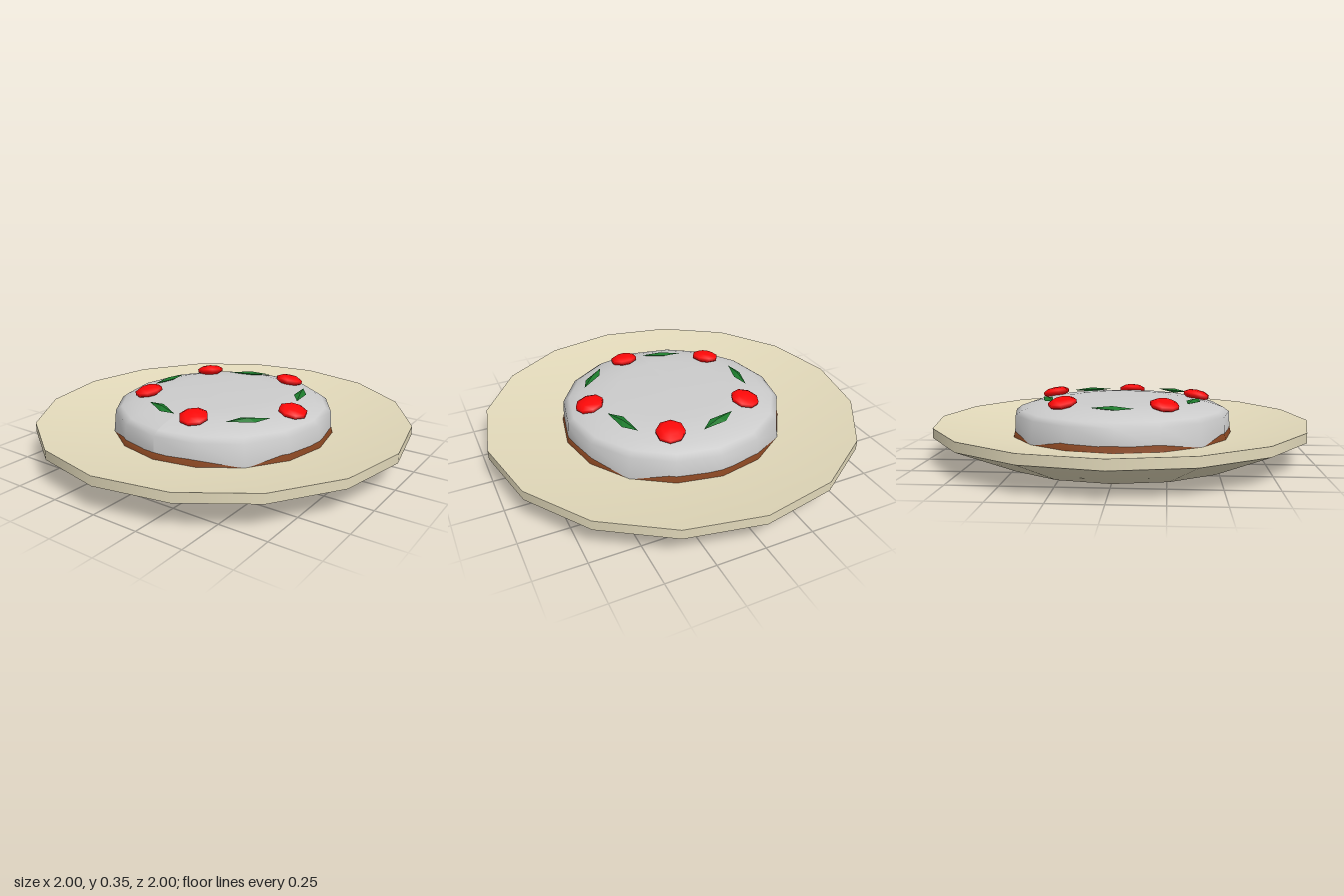
import * as THREE from 'three';

const SIDES = 16;
const mat = (color, flat = false) =>
  new THREE.MeshStandardMaterial({ color, flatShading: flat, side: THREE.DoubleSide });

function addMesh(parent, name, geometry, material) {
  const mesh = new THREE.Mesh(geometry, material);
  mesh.name = name;
  parent.add(mesh);
  return mesh;
}

// Surface of revolution from [radius, height] pairs
const lathe = (pts) =>
  new THREE.LatheGeometry(pts.map(([r, y]) => new THREE.Vector2(r, y)), SIDES);

export function createModel() {
  const model = new THREE.Group();
  model.name = 'cakeOnPlate';

  // Plate: underside, upright rim and shallow dished top keep hard edges between them
  const plate = new THREE.Group();
  plate.name = 'plate';
  model.add(plate);
  const plateMat = mat(0xe2d9ba);
  addMesh(plate, 'plateUnderside', lathe([[0, 0], [0.68, 0], [1, 0.14]]), plateMat);
  addMesh(plate, 'plateRim', lathe([[1, 0.14], [1, 0.19]]), plateMat);
  addMesh(plate, 'plateTop', lathe([[1, 0.19], [0.59, 0.12], [0, 0.1]]), plateMat);

  // Sponge showing below the icing
  addMesh(model, 'sponge', lathe([[0.597, 0.11], [0.583, 0.17], [0, 0.17]]), mat(0x854420));

  // Icing: domed coat whose lower edge dips at the diagonals
  const icing = lathe([[0.588, 0.14], [0.582, 0.235], [0.55, 0.258], [0.5, 0.276],
    [0.42, 0.295], [0.3, 0.305], [0, 0.306]]);
  const pos = icing.attributes.position;
  for (let i = 0; i < pos.count; i++) {
    if (pos.getY(i) > 0.15) continue;
    const x = pos.getX(i), z = pos.getZ(i);
    const dip = -Math.cos(4 * Math.atan2(x, z));
    pos.setXYZ(i, x * (1 + 0.012 * Math.max(0, dip)), 0.137 - 0.017 * dip, z * (1 + 0.012 * Math.max(0, dip)));
  }
  icing.computeVertexNormals();
  addMesh(model, 'icing', icing, mat(0xcccccc));

  // Flattened cherries tilted with the dome: x, y, z
  const cherryGeo = new THREE.SphereGeometry(0.077, 8, 5).scale(1, 0.38, 1);
  const cherryMat = mat(0xff0808);
  [[-0.33, 0.312, 0.235], [0.11, 0.308, 0.41], [0.45, 0.298, 0.035],
    [0.185, 0.308, -0.39], [-0.295, 0.313, -0.28]].forEach(([x, y, z]) => {
    const cherry = addMesh(model, 'cherry', cherryGeo, cherryMat);
    cherry.position.set(x, y, z);
    cherry.rotation.set(0.2, Math.atan2(x, z), 0, 'YXZ');
  });

  // Skewed diamond leaves, each given by its two tips: x1, z1, x2, z2
  const leafGeo = new THREE.OctahedronGeometry(1).scale(0.113, 0.012, 0.03)
    .applyMatrix4(new THREE.Matrix4().set(1, 0, 0.9, 0, 0, 1, 0, 0, 0, 0, 1, 0, 0, 0, 0, 1));
  const leafMat = mat(0x1c7a2c, true);
  [[-0.18, -0.345, 0.025, -0.435], [0.32, -0.31, 0.4, -0.095], [0.42, 0.2, 0.27, 0.37],
    [0, 0.42, -0.225, 0.35], [-0.405, 0.08, -0.39, -0.12]].forEach(([x1, z1, x2, z2]) => {
    const leaf = addMesh(model, 'leaf', leafGeo, leafMat);
    leaf.position.set((x1 + x2) / 2, 0.303, (z1 + z2) / 2);
    leaf.rotation.set(-0.17, -Math.atan2(z2 - z1, x2 - x1), 0, 'YXZ');
  });

  return model;
}
